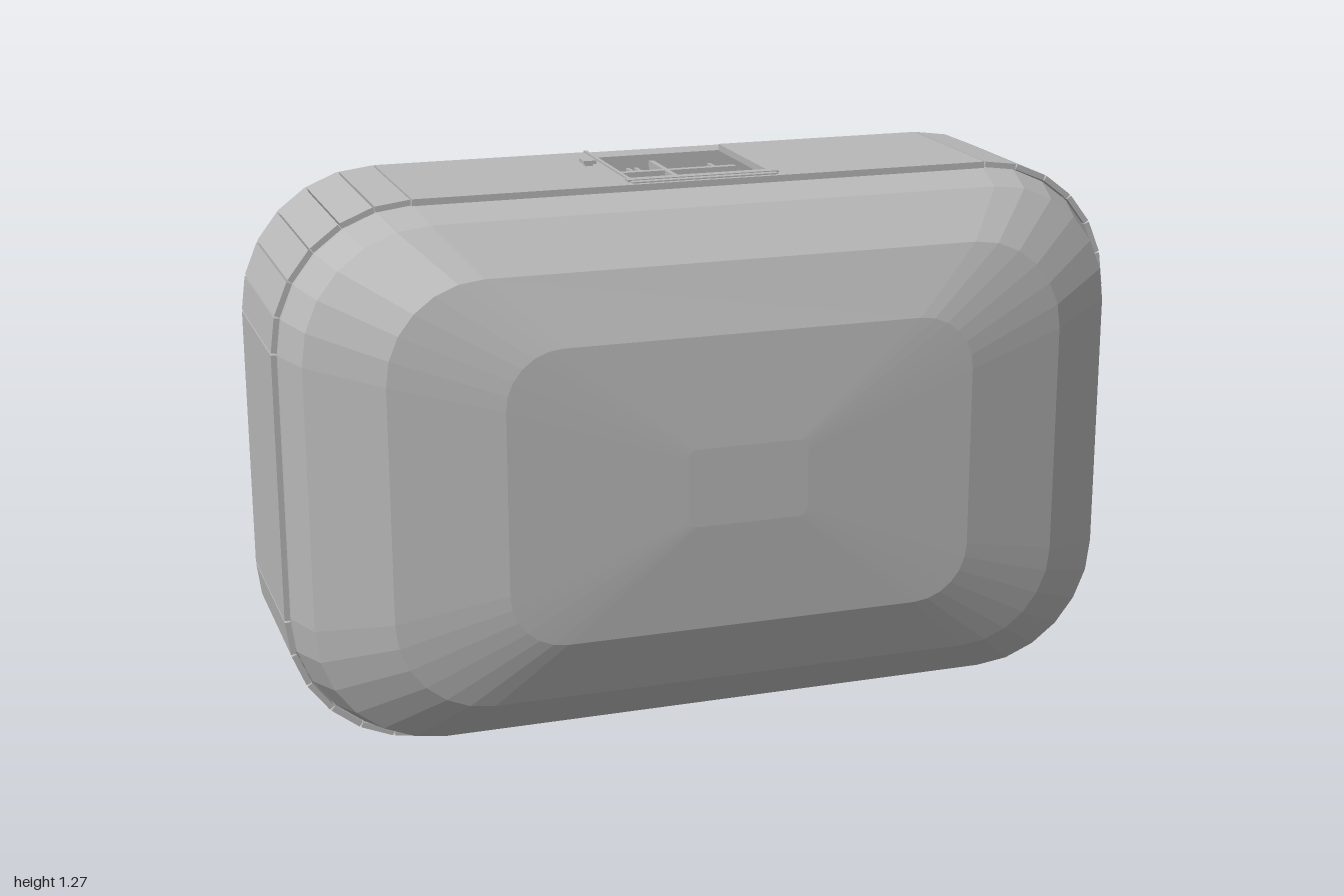
import * as THREE from 'three';

const CY = 0.63; // height of the centre line
const STEPS = 6; // facets per rounded corner

// Rounded rectangle of points, counter-clockwise from the +x side
function ring(w, h, r) {
  const pts = [];
  for (let c = 0; c < 4; c++) {
    const sx = c === 0 || c === 3 ? 1 : -1, sy = c < 2 ? 1 : -1;
    for (let i = 0; i <= STEPS; i++) {
      const a = (c + i / STEPS) * Math.PI / 2;
      pts.push(new THREE.Vector2(sx * (w - r) + r * Math.cos(a), CY + sy * (h - r) + r * Math.sin(a)));
    }
  }
  return pts;
}

// Skin between sections listed front to back: [z, halfWidth, halfHeight, radius]
function loft(sections, skip = () => false, capFront = false, capBack = false) {
  const pos = [];
  const rings = sections.map(([z, w, h, r]) => ring(w, h, r).map(p => [p.x, p.y, z]));
  const n = rings[0].length;
  for (let s = 0; s + 1 < rings.length; s++) {
    for (let i = 0; i < n; i++) {
      if (skip(i)) continue;
      const j = (i + 1) % n, A = rings[s], B = rings[s + 1];
      pos.push(...A[i], ...B[i], ...B[j], ...A[i], ...B[j], ...A[j]);
    }
  }
  const first = rings[0], last = rings[rings.length - 1];
  for (let i = 0; i < n; i++) {
    const j = (i + 1) % n;
    if (capFront) pos.push(0, CY, sections[0][0], ...first[i], ...first[j]);
    if (capBack) pos.push(0, CY, sections[sections.length - 1][0], ...last[j], ...last[i]);
  }
  const g = new THREE.BufferGeometry();
  g.setAttribute('position', new THREE.Float32BufferAttribute(pos, 3));
  g.computeVertexNormals();
  return g;
}

export function createModel() {
  const group = new THREE.Group();
  const grey = new THREE.MeshStandardMaterial({ color: 0xb8b8b8, flatShading: true, side: THREE.DoubleSide });
  grey.name = 'grey';

  const add = (name, geometry) => {
    const m = new THREE.Mesh(geometry, grey);
    m.name = name;
    group.add(m);
    return m;
  };
  // Box given by its limits
  const box = (name, x0, x1, y0, y1, z0, z1) => {
    const m = add(name, new THREE.BoxGeometry(x1 - x0, y1 - y0, z1 - z0));
    m.position.set((x0 + x1) / 2, (y0 + y1) / 2, (z0 + z1) / 2);
    return m;
  };

  // Hollow body: faceted front dome, middle shell open on top, back tray
  const rim = [0.985, 0.615, 0.31];
  add('frontDome', loft([
    [0.38, 0.14, 0.09, 0.02],
    [0.36, 0.545, 0.34, 0.13],
    [0.30, 0.79, 0.49, 0.22],
    [0.20, 0.95, 0.592, 0.29],
    [0.10, ...rim],
  ], undefined, true));
  add('innerShell', loft([[0.10, ...rim], [-0.31, ...rim]], i => i === STEPS));
  add('backTray', loft([[-0.31, ...rim], [-0.38, ...rim]], undefined, false, true));
  add('backInnerWall', loft([[-0.31, ...rim], [-0.312, ...rim]], undefined, false, true));

  // Separate plates around the middle with narrow seams
  const thick = 0.013, z0 = -0.31, z1 = 0.10;
  const outer = ring(1, 0.63, 0.32);
  outer.forEach((a, i) => {
    if (i === STEPS) return;
    const b = outer[(i + 1) % outer.length];
    const d = b.clone().sub(a), len = d.length();
    d.normalize();
    const plate = add('bandPlate', new THREE.BoxGeometry(len - 0.005, thick, z1 - z0));
    plate.position.set(
      (a.x + b.x) / 2 - d.y * thick / 2,
      (a.y + b.y) / 2 + d.x * thick / 2,
      (z0 + z1) / 2);
    // step inward from the edge
    plate.position.x -= 0;
    const mid = a.clone().add(b).multiplyScalar(0.5);
    const inward = new THREE.Vector2(-d.y, d.x);
    plate.position.set(mid.x + inward.x * thick / 2, mid.y + inward.y * thick / 2, (z0 + z1) / 2);
    plate.rotation.z = Math.atan2(d.y, d.x);
  });

  // Top plates around the hatch opening
  box('topPlateRight', -0.678, -0.17, 1.244, 1.26, z0, z1);
  box('topPlateLeft', 0.165, 0.678, 1.244, 1.26, z0, z1);
  box('topPlateFront', -0.17, 0.165, 1.244, 1.26, 0.07, z1);

  // Hatch sill, side edge and rails
  box('hatchSill', -0.18, 0.18, 1.245, 1.265, 0.045, 0.07);
  box('hatchSillStep', -0.175, 0.17, 1.255, 1.263, 0.07, 0.088);
  box('hatchEdge', -0.174, -0.166, 1.24, 1.264, z0, 0.045);
  box('centreRail', -0.012, 0.0, 1.21, 1.23, z0, 0.045);
  box('crossRail', -0.17, 0.165, 1.21, 1.23, -0.2, -0.182);

  // Two frames behind the cross rail
  for (const [a, b] of [[-0.165, -0.065], [-0.045, 0.14]]) {
    box('frameFront', a, b, 1.2, 1.21, -0.205, -0.195);
    for (const x of [a, b]) box('frameSide', x - 0.004, x + 0.004, 1.2, 1.215, z0, -0.2);
  }
  box('hangingPin', 0.11, 0.116, 1.19, 1.21, -0.182, -0.125);

  // Small latch beside the hatch
  box('latchBase', -0.219, -0.201, 1.258, 1.268, -0.16, -0.14);
  box('latchKnob', -0.225, -0.195, 1.266, 1.274, -0.17, -0.13);

  return group;
}
